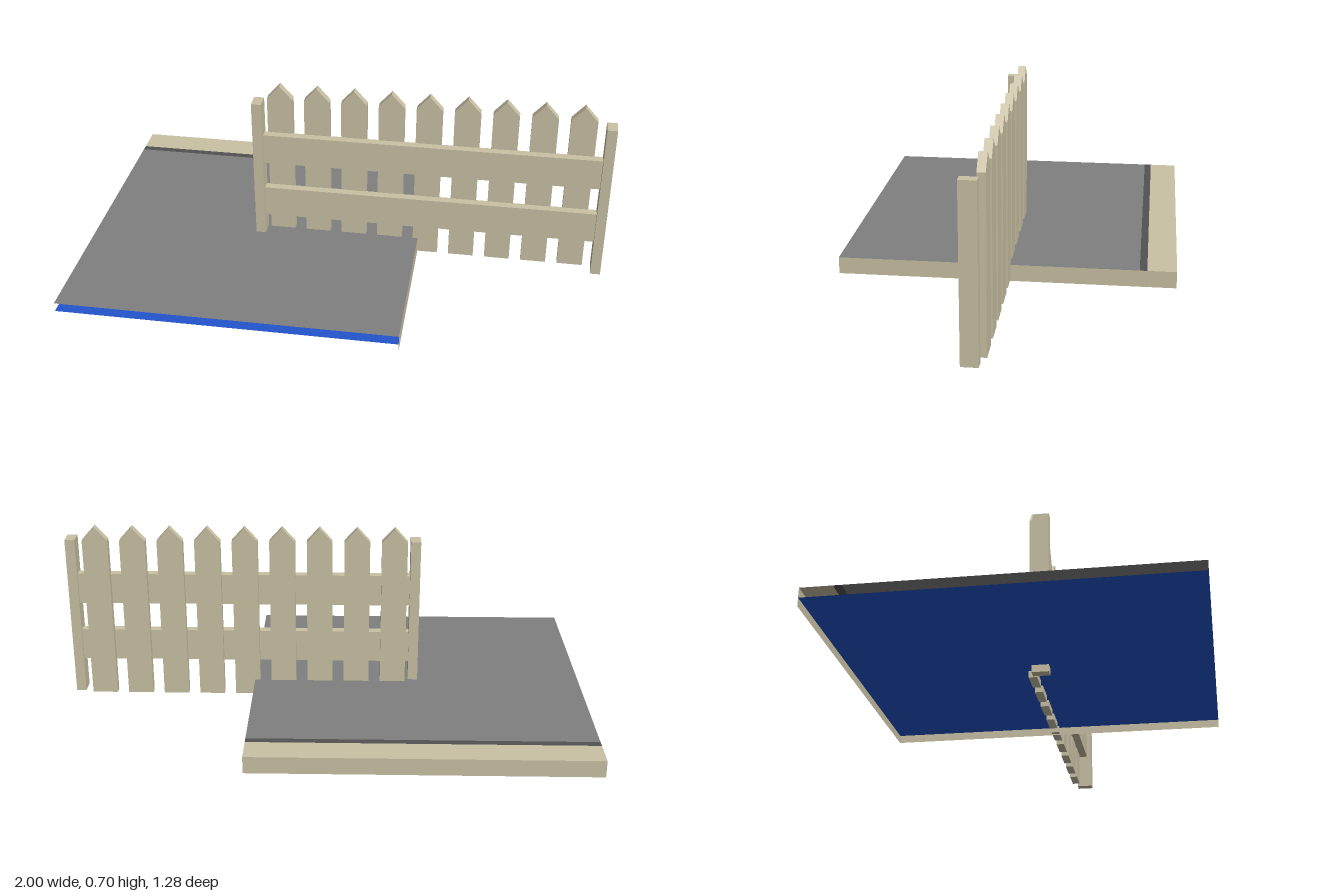
import * as THREE from 'three';

const mat = (name, color, side = THREE.FrontSide) => {
  const m = new THREE.MeshStandardMaterial({ color, side });
  m.name = name;
  return m;
};

export function createModel() {
  const wood = mat('paleWood', 0xc9c1a4);
  const stone = mat('paleStone', 0xc9c1a4, THREE.DoubleSide);
  const asphalt = mat('greyAsphalt', 0x808080, THREE.DoubleSide);
  const gutter = mat('darkGutter', 0x525252, THREE.DoubleSide);
  const blue = mat('blueBase', 0x2255cc, THREE.DoubleSide);
  const model = new THREE.Group();

  const add = (parent, name, geometry, material) => {
    const mesh = new THREE.Mesh(geometry, material);
    mesh.name = name;
    parent.add(mesh);
    return mesh;
  };
  const box = (parent, name, x0, x1, y0, y1, z0, z1) =>
    add(parent, name, new THREE.BoxGeometry(x1 - x0, y1 - y0, z1 - z0), wood)
      .position.set((x0 + x1) / 2, (y0 + y1) / 2, (z0 + z1) / 2);
  // Horizontal sheet facing up
  const sheet = (parent, name, x0, x1, z0, z1, y, material) => {
    const g = new THREE.PlaneGeometry(x1 - x0, z1 - z0).rotateX(-Math.PI / 2);
    add(parent, name, g, material).position.set((x0 + x1) / 2, y, (z0 + z1) / 2);
  };

  // Ground tile: open shell with a kerb, a gutter line and the road surface
  const L = -1, R = 0.28, B = -0.64, F = 0.64, H = 0.065;
  const ground = new THREE.Group();
  ground.name = 'groundTile';
  model.add(ground);
  sheet(ground, 'kerbTop', L, R, B, -0.53, H, stone);
  sheet(ground, 'gutterLine', L, R, -0.53, -0.502, H, gutter);
  sheet(ground, 'roadSurface', L, R, -0.502, F, H, asphalt);
  sheet(ground, 'baseSheet', L, R, B, F, 0.03, blue);
  const backWall = add(ground, 'kerbBackWall', new THREE.PlaneGeometry(R - L, H), stone);
  backWall.position.set((L + R) / 2, H / 2, B);
  backWall.rotation.y = Math.PI;
  const sideWall = add(ground, 'kerbSideWall', new THREE.PlaneGeometry(F - B, H), stone);
  sideWall.position.set(R, H / 2, 0);
  sideWall.rotation.y = Math.PI / 2;

  // Fence: two posts, two rails and nine pointed pickets
  const fence = new THREE.Group();
  fence.name = 'fence';
  model.add(fence);
  box(fence, 'innerPost', -0.363, -0.325, 0.003, 0.642, 0, 0.062);
  box(fence, 'outerPost', 0.962, 1, 0.003, 0.642, 0, 0.062);
  box(fence, 'lowerRail', -0.327, 0.964, 0.14, 0.265, 0.01, 0.043);
  box(fence, 'upperRail', -0.327, 0.964, 0.378, 0.5, 0.01, 0.043);

  const w = 0.049;
  const outline = new THREE.Shape([
    [-w, 0.005], [w, 0.005], [w, 0.645], [0, 0.7], [-w, 0.645],
  ].map(([x, y]) => new THREE.Vector2(x, y)));
  const picket = new THREE.ExtrudeGeometry(outline, { depth: 0.03, bevelEnabled: false });
  for (let i = 0; i < 9; i++)
    add(fence, 'picket', picket, wood).position.set(-0.263 + i * 0.143, 0, -0.018);

  return model;
}
